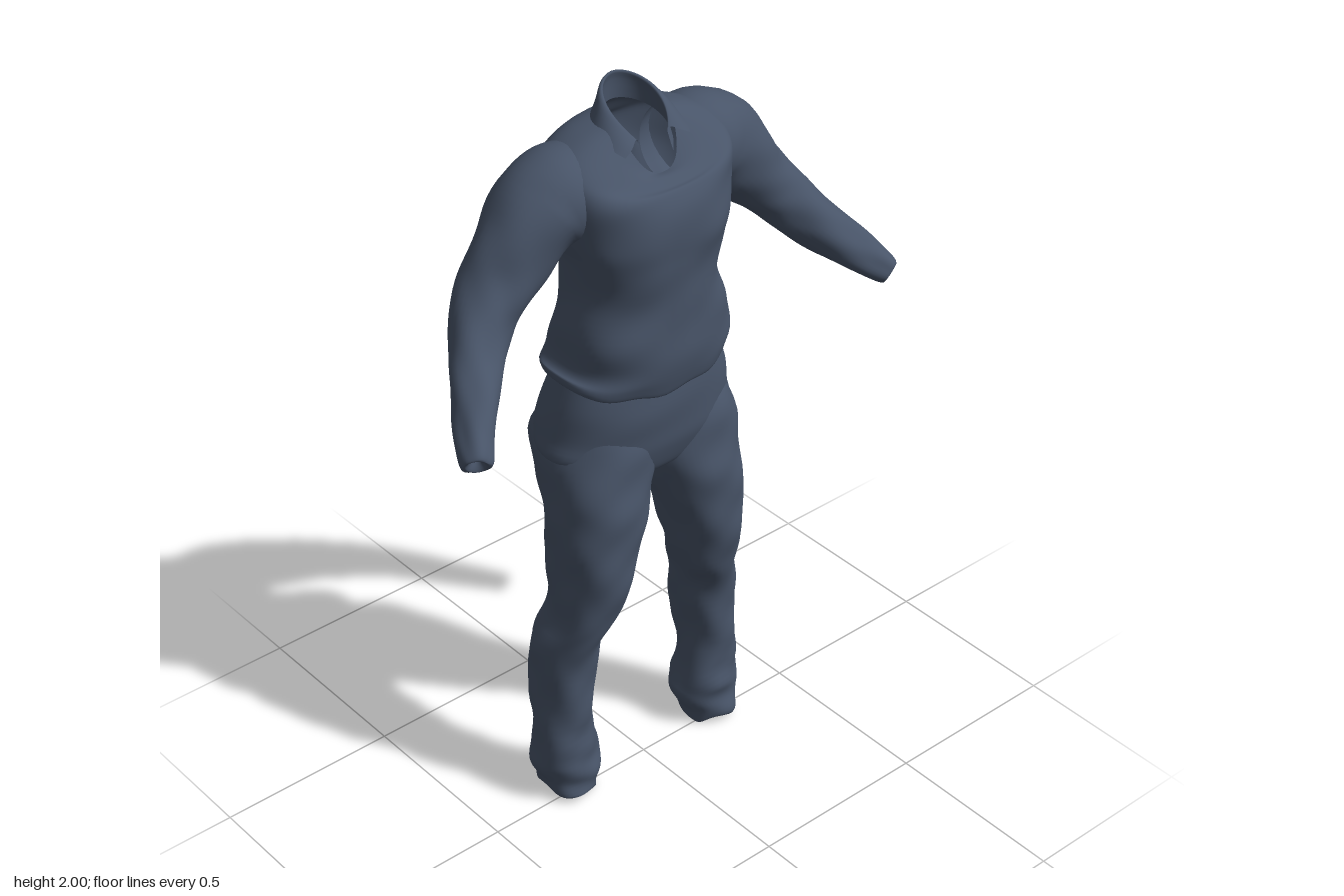
import * as THREE from 'three';

const cloth = new THREE.MeshStandardMaterial({ color: 0x485468, side: THREE.DoubleSide });
cloth.name = 'slate blue cloth';

// Surface through a grid of points; rings may wrap around
function skin(name, grid, closed) {
  const n = grid[0].length, index = [];
  for (let i = 0; i < grid.length - 1; i++) {
    for (let j = 0; j < (closed ? n : n - 1); j++) {
      const k = (j + 1) % n, a = i * n, b = a + n;
      index.push(a + j, b + j, a + k, b + j, b + k, a + k);
    }
  }
  const geo = new THREE.BufferGeometry().setFromPoints(grid.flat());
  geo.setIndex(index);
  geo.computeVertexNormals();
  const mesh = new THREE.Mesh(geo, cloth);
  mesh.name = name;
  return mesh;
}

// Catmull-Rom resampling of rows of numbers
function smoothRows(rows, steps) {
  const out = [], at = i => rows[Math.min(Math.max(i, 0), rows.length - 1)];
  for (let i = 0; i < rows.length - 1; i++) {
    for (let s = 0; s < steps; s++) {
      const t = s / steps;
      out.push(rows[i].map((p1, c) => {
        const p0 = at(i - 1)[c], p2 = at(i + 1)[c], p3 = at(i + 2)[c];
        return p1 + 0.5 * t * (p2 - p0 + t * (2 * p0 - 5 * p1 + 4 * p2 - p3 + t * (3 * (p1 - p2) + p3 - p0)));
      }));
    }
  }
  out.push(rows[rows.length - 1]);
  return out;
}

const power = (v, e) => Math.sign(v) * Math.abs(v) ** e;
const folds = (a, t) => Math.sin(2 * a + 17 * t) * 0.5 + Math.sin(3 * a - 31 * t) * 0.6 + Math.sin(5 * a + 47 * t) * 0.3;

// Upright loft, rows: y, x min, x max, z back, z front, drop at front, drop at back
function body(name, rows, { squareness = 0.88, wrinkle = 0.004, shape = () => {} } = {}, n = 56) {
  const grid = smoothRows(rows, 5).map(([y, x0, x1, z0, z1, front = 0, back = 0]) =>
    Array.from({ length: n }, (_, j) => {
      const a = j / n * Math.PI * 2, c = Math.cos(a), s = Math.sin(a);
      const f = wrinkle * folds(a, y);
      const p = new THREE.Vector3(
        (x0 + x1) / 2 + ((x1 - x0) / 2 + f) * power(c, squareness),
        y - (s > 0 ? front * s ** 1.5 : back * s * s),
        (z0 + z1) / 2 + ((z1 - z0) / 2 + f) * power(s, squareness));
      shape(p, s);
      return p;
    }));
  return skin(name, grid, true);
}

// Sleeve loft along a bent path, rows: x, y, z, radius across, radius in depth
function sleeve(name, side) {
  const rows = smoothRows([
    [0.13, 1.79, -0.05, 0.1, 0.1], [0.2, 1.775, -0.06, 0.122, 0.122],
    [0.27, 1.745, -0.065, 0.118, 0.115], [0.335, 1.685, -0.06, 0.104, 0.1],
    [0.4, 1.61, -0.055, 0.09, 0.088], [0.46, 1.545, -0.035, 0.078, 0.078],
    [0.52, 1.475, 0.015, 0.068, 0.065], [0.57, 1.42, 0.075, 0.058, 0.056],
    [0.62, 1.37, 0.135, 0.046, 0.046], [0.65, 1.342, 0.178, 0.036, 0.038],
    [0.656, 1.336, 0.186, 0.024, 0.025], [0.64, 1.35, 0.165, 0.004, 0.004]], 5);
  const centre = r => new THREE.Vector3(side * r[0], r[1], r[2]);
  const last = rows.length - 11;
  const n = 36;
  const grid = rows.map((r, i) => {
    const k = Math.min(i, last);
    const t = centre(rows[k + 1]).sub(centre(rows[Math.max(k - 1, 0)])).normalize();
    const v = new THREE.Vector3(0, 0, 1).addScaledVector(t, -t.z).normalize();
    const u = t.clone().cross(v);
    return Array.from({ length: n }, (_, j) => {
      const a = j / n * Math.PI * 2;
      const f = i > 8 && i <= last + 3 ? 0.004 * folds(a, r[1] * 1.2 + side) : 0;
      return centre(r).addScaledVector(u, (r[3] + f) * Math.cos(a)).addScaledVector(v, (r[4] + f) * Math.sin(a));
    });
  });
  return skin(name, grid, true);
}

function trouserLeg(name, side) {
  const rows = [
    [0.08, 0.21, 0.28, -0.07, 0.02], [0.01, 0.188, 0.303, -0.108, 0.055],
    [0.05, 0.175, 0.315, -0.115, 0.055], [0.095, 0.15, 0.333, -0.12, 0.05],
    [0.14, 0.155, 0.333, -0.115, 0.05], [0.25, 0.178, 0.323, -0.12, 0.045],
    [0.4, 0.165, 0.312, -0.14, 0.052], [0.5, 0.155, 0.308, -0.13, 0.065],
    [0.59, 0.12, 0.282, -0.11, 0.097], [0.7, 0.09, 0.28, -0.105, 0.12],
    [0.8, 0.065, 0.28, -0.122, 0.13], [0.9, 0.025, 0.281, -0.13, 0.13],
    [0.98, -0.003, 0.284, -0.165, 0.12], [1.08, -0.02, 0.272, -0.205, 0.11],
    [1.18, 0, 0.23, -0.15, 0.08]];
  const placed = rows.map(([y, a, b, z0, z1]) => side > 0 ? [y, a, b, z0, z1] : [y, -b, -a, z0, z1]);
  // Crumpled cloth near the ankle
  const shape = (p, s) => {
    const low = Math.max(0, 1 - p.y / 0.3);
    p.y = Math.max(0, p.y + low * 0.016 * Math.sin(p.x * 28 * side + p.z * 24));
    p.z += low * 0.006 * Math.sin(p.y * 70 + p.x * 20) * s;
  };
  return body(name, placed, { wrinkle: 0.0045, shape }, 44);
}

// Folded collar open at the front, rows: width, z centre, depth, sweep, y back, y fall
function collar() {
  const rows = [
    [0.082, -0.025, 0.092, 2.5, 1.925, 0.085], [0.074, -0.03, 0.085, 2.5, 1.975, 0.1],
    [0.071, -0.03, 0.08, 2.45, 1.997, 0.105], [0.082, -0.03, 0.088, 2.4, 1.995, 0.1],
    [0.1, -0.02, 0.1, 2.3, 1.965, 0.08], [0.118, -0.012, 0.116, 2.15, 1.932, 0.06]];
  const grid = smoothRows(rows, 3).map(([w, zc, d, sweep, y, fall]) =>
    Array.from({ length: 41 }, (_, j) => {
      const s = 1 - j / 20, a = s * sweep;
      return new THREE.Vector3(w * Math.sin(a), y - fall * Math.abs(s) ** 1.7, zc - d * Math.cos(a));
    }));
  return skin('collar', grid, false);
}

export function createModel() {
  const model = new THREE.Group();
  model.name = 'shirt and trousers';

  // Shirt body with blouson hem, spine crease and front placket
  const torso = [
    [1.26, -0.2, 0.2, -0.16, 0.1], [1.232, -0.24, 0.238, -0.19, 0.125],
    [1.265, -0.245, 0.248, -0.212, 0.137], [1.32, -0.228, 0.253, -0.206, 0.142],
    [1.4, -0.226, 0.225, -0.175, 0.145], [1.5, -0.2, 0.188, -0.163, 0.143],
    [1.6, -0.205, 0.203, -0.175, 0.153], [1.67, -0.225, 0.225, -0.192, 0.158],
    [1.75, -0.245, 0.245, -0.207, 0.148], [1.82, -0.245, 0.245, -0.205, 0.135, 0.03, 0],
    [1.87, -0.22, 0.22, -0.19, 0.115, 0.075, 0.02], [1.905, -0.155, 0.155, -0.162, 0.09, 0.095, 0.01],
    [1.925, -0.083, 0.083, -0.12, 0.07, 0.115, 0]
  ].map(r => [...r, 0, 0].slice(0, 7));
  const bump = (v, c, w) => Math.exp(-(((v - c) / w) ** 2));
  model.add(body('shirtBody', torso, {
    squareness: 0.82, wrinkle: 0.0035,
    shape(p, s) {
      if (s < 0) p.z += 0.018 * bump(p.x, 0.01, 0.04) * bump(p.y, 1.55, 0.2);
      else p.z += 0.006 * bump(Math.abs(p.x), 0.1, 0.06) * bump(p.y, 1.64, 0.07) + 0.003 * bump(p.x, 0, 0.02) * bump(p.y, 1.5, 0.2);
      p.y += bump(p.y, 1.24, 0.05) * (0.045 * p.x * p.x / 0.06 + 0.005 * Math.sin(p.x * 40));
    }
  }, 72));
  model.add(collar());

  // Seat and hips of the trousers
  model.add(body('trouserSeat', [
    [0.965, -0.05, 0.05, -0.08, 0.05], [0.995, -0.19, 0.19, -0.13, 0.09],
    [1.06, -0.274, 0.274, -0.188, 0.112], [1.12, -0.27, 0.27, -0.21, 0.12],
    [1.2, -0.25, 0.248, -0.2, 0.127], [1.3, -0.215, 0.215, -0.165, 0.115]
  ], {
    wrinkle: 0.002,
    shape(p, s) { if (s < 0) p.z += 0.02 * bump(p.x, 0, 0.03) * bump(p.y, 1.06, 0.08); }
  }));

  for (const [label, side] of [['left', 1], ['right', -1]]) {
    model.add(sleeve(label + 'Sleeve', side));
    model.add(trouserLeg(label + 'TrouserLeg', side));
  }
  return model;
}
